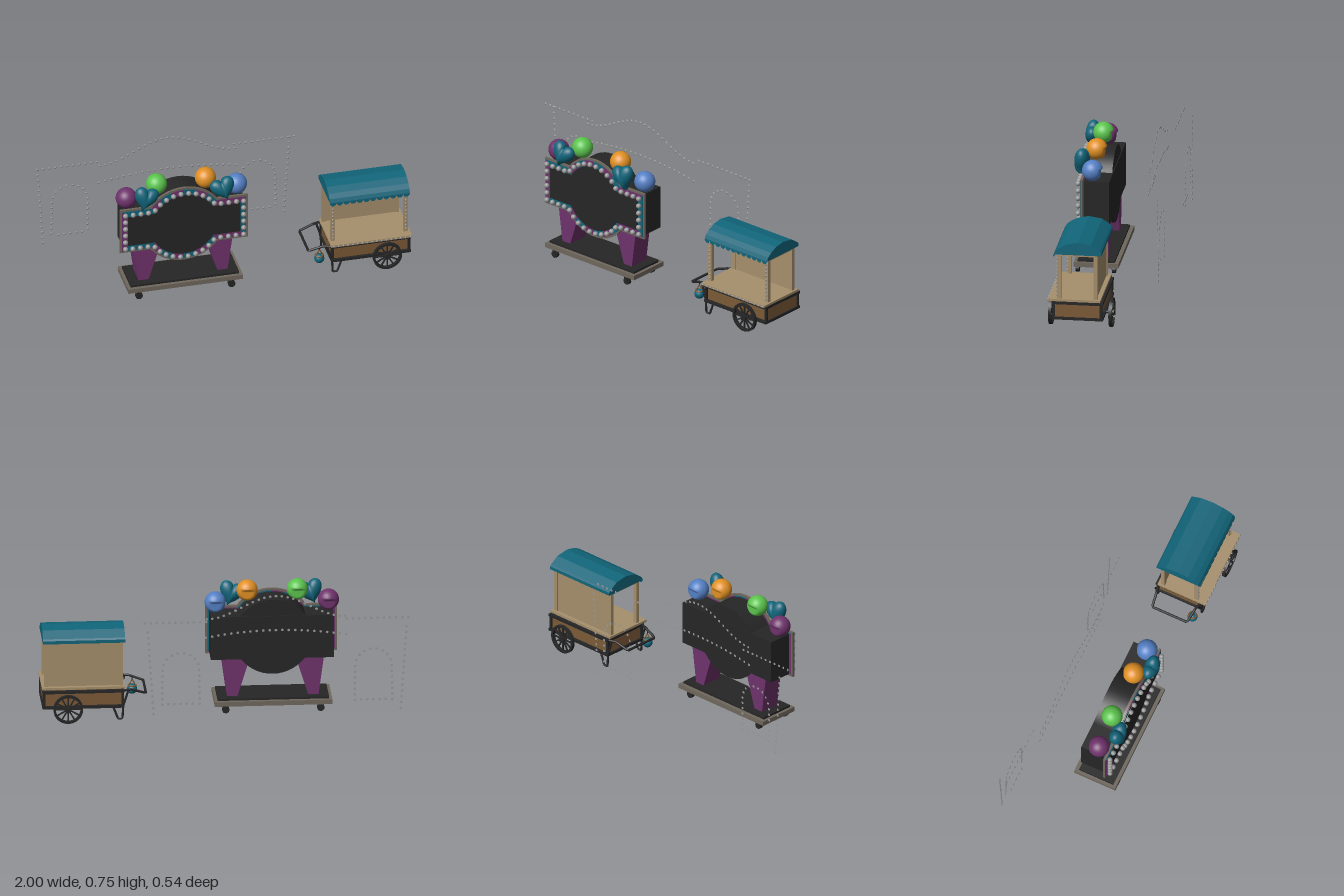
import * as THREE from 'three';
import { mergeGeometries } from 'three/addons/utils/BufferGeometryUtils.js';

const mat = (name, color) => {
  const m = new THREE.MeshStandardMaterial({ color, side: THREE.DoubleSide });
  m.name = name;
  return m;
};
const V2 = (x, y) => new THREE.Vector2(x, y);
const V3 = (x, y, z) => new THREE.Vector3(x, y, z);

export function createModel() {
  const black = mat('black', 0x262626), purple = mat('purple', 0x6f336c), teal = mat('teal', 0x11657a),
    tan = mat('tan', 0xa68f6c), brown = mat('brown', 0x7c5a37), grey = mat('bulb grey', 0x999999),
    taupe = mat('taupe', 0x6f675d), green = mat('green', 0x5cc44e), orange = mat('orange', 0xe09024),
    blue = mat('blue', 0x5580c4);
  const root = new THREE.Group();
  const group = (name, parent = root) => {
    const g = new THREE.Group();
    g.name = name;
    parent.add(g);
    return g;
  };
  const add = (parent, name, geo, m, x = 0, y = 0, z = 0) => {
    const mesh = new THREE.Mesh(geo, m);
    mesh.name = name;
    mesh.position.set(x, y, z);
    parent.add(mesh);
    return mesh;
  };
  // box given by its limits on each axis
  const box = (p, name, m, x0, x1, y0, y1, z0, z1) =>
    add(p, name, new THREE.BoxGeometry(x1 - x0, y1 - y0, z1 - z0), m, (x0 + x1) / 2, (y0 + y1) / 2, (z0 + z1) / 2);
  const slab = (p, name, m, pts, z0, z1, hole) => {
    const s = new THREE.Shape(pts);
    if (hole) s.holes.push(new THREE.Path(hole));
    return add(p, name, new THREE.ExtrudeGeometry(s, { depth: z1 - z0, bevelEnabled: false }), m, 0, 0, z0);
  };
  const tube = (p, name, m, r, pts) => {
    const path = new THREE.CurvePath();
    for (let i = 1; i < pts.length; i++) path.add(new THREE.LineCurve3(pts[i - 1], pts[i]));
    return add(p, name, new THREE.TubeGeometry(path, pts.length * 8, r, 8), m);
  };
  // merged row of small beads at the given points
  const beads = (p, name, points, z, geo) => add(p, name,
    mergeGeometries(points.map(q => geo.clone().translate(q.x, q.y, z))), grey);

  // ---- Sign stand ----
  const CX = -0.27, CY = 0.427;
  const stand = group('signStand');
  // outline of a bar joined with a disc, listed as stretches with equal counts for every inset
  const stretches = d => {
    const w = 0.36 - d, h = 0.137 - d, r = 0.232 - d, a = Math.asin(h / r), c = r * Math.cos(a);
    const P = (x, y) => V2(CX + x, CY + y);
    const out = [[P(w, -h), P(w, h)], [P(w, h), P(c, h)]];
    const arc = (from, to) => {
      for (let k = 0; k < 6; k++) out.push(Array.from({ length: 6 }, (_, i) => {
        const t = from + (to - from) * (k + i / 5) / 6;
        return P(r * Math.cos(t), r * Math.sin(t));
      }));
    };
    arc(a, Math.PI - a);
    out.push([P(-c, h), P(-w, h)], [P(-w, h), P(-w, -h)], [P(-w, -h), P(-c, -h)]);
    arc(Math.PI + a, 2 * Math.PI - a);
    out.push([P(c, -h), P(w, -h)]);
    return out;
  };
  const outline = d => stretches(d).flatMap(s => s.slice(0, -1));
  slab(stand, 'signBorder', taupe, outline(0), 0.19, 0.203);
  const outer = stretches(0.011), inner = stretches(0.047);
  outer.forEach((s, i) => slab(stand, 'signBand', i % 2 ? purple : teal,
    [...s, ...inner[i].slice().reverse()], 0.187, 0.206));
  slab(stand, 'signFace', black, outline(0.045), 0.185, 0.21);
  const ring = new THREE.Shape([...outline(0.028), outline(0.028)[0]]);
  beads(stand, 'signBulbs', ring.getSpacedPoints(44).slice(1), 0.219, new THREE.SphereGeometry(0.0145, 12, 8));

  // cabinet behind the sign
  box(stand, 'cabinetBar', black, -0.605, 0.07, 0.302, 0.548, 0.047, 0.19);
  const drum = add(stand, 'cabinetDrum', new THREE.CylinderGeometry(0.215, 0.215, 0.137, 48), black, CX, CY, 0.1205);
  drum.rotation.x = Math.PI / 2;

  // tapered legs, base board and casters
  for (const s of [-1, 1]) {
    const X = x => CX + s * x;
    slab(stand, 'standLeg', purple,
      [V2(X(0.28), 0.305), V2(X(0.25), 0.08), V2(X(0.195), 0.08), V2(X(0.125), 0.305)], 0.062, 0.182);
    for (const z of [0.03, 0.23]) {
      const c = add(stand, 'caster', new THREE.CylinderGeometry(0.02, 0.02, 0.02, 20), black, X(0.26), 0.02, z);
      c.rotation.x = Math.PI / 2;
      box(stand, 'casterFork', black, X(0.26) - 0.012, X(0.26) + 0.012, 0.02, 0.048, z - 0.012, z + 0.012);
    }
  }
  box(stand, 'baseBoard', taupe, -0.592, 0.052, 0.047, 0.073, -0.002, 0.245);
  box(stand, 'baseTop', black, -0.575, 0.035, 0.073, 0.085, 0.02, 0.225);

  // balls with the lower back trimmed flat
  const ballGeo = new THREE.SphereGeometry(0.058, 32, 24);
  const bp = ballGeo.attributes.position;
  for (let i = 0; i < bp.count; i++) if (bp.getY(i) < 0.012) bp.setZ(i, Math.max(bp.getZ(i), -0.042));
  ballGeo.computeVertexNormals();
  [[purple, -0.58, 0.605], [green, -0.41, 0.67], [orange, -0.135, 0.67], [blue, 0.04, 0.605]]
    .forEach(([m, x, y]) => add(stand, 'ball', ballGeo, m, x, y, 0.142));

  // puffy hearts shaped from a sphere
  const heartGeo = new THREE.SphereGeometry(1, 40, 28);
  const hp = heartGeo.attributes.position;
  for (let i = 0; i < hp.count; i++) {
    const x = hp.getX(i), y = hp.getY(i), ax = Math.abs(x);
    hp.setXYZ(i, x * 0.068, y * 0.057 + 0.045 * Math.sqrt(ax) - 0.02, hp.getZ(i) * 0.042);
  }
  heartGeo.computeVertexNormals();
  for (const s of [-1, 1])
    add(stand, 'heart', heartGeo, teal, CX + s * 0.218, 0.632, 0.212).rotation.z = s * 0.3;

  // ---- Strings of small lights tracing a facade ----
  const lights = group('facadeLights');
  const dot = new THREE.ConeGeometry(0.008, 0.006, 6).rotateX(Math.PI / 2);
  const line = (x0, y0, x1, y1, n) => Array.from({ length: n + 1 }, (_, i) =>
    V2(x0 + (x1 - x0) * i / n, y0 + (y1 - y0) * i / n));
  for (const s of [-1, 1]) {
    const mir = pts => pts.map(p => V2(CX + s * p.x, p.y));
    beads(lights, 'eaveLights', mir(line(0.385, 0.622, 0.722, 0.622, 10)), -0.218, dot);
    beads(lights, 'columnLights', mir(line(0.708, 0.588, 0.677, 0.113, 14)), -0.268, dot);
    const arch = Array.from({ length: 10 }, (_, i) => {
      const t = Math.PI * i / 9;
      return V2(0.527 + 0.1 * Math.cos(t), 0.363 + 0.1 * Math.sin(t));
    });
    beads(lights, 'archLights', mir([...arch, ...line(0.63, 0.165, 0.628, 0.33, 5),
      ...line(0.425, 0.165, 0.426, 0.33, 5)]), -0.268, dot);
    beads(lights, 'sillLights', mir(line(0.46, 0.162, 0.595, 0.162, 4)), -0.252, dot);
  }
  beads(lights, 'gableLights', Array.from({ length: 25 }, (_, i) => {
    const u = (i - 12) / 12;
    return V2(CX + u * 0.38, 0.622 + 0.125 * (0.5 + 0.5 * Math.cos(u * Math.PI)));
  }), -0.176, dot);
  beads(lights, 'lowerLights', Array.from({ length: 23 }, (_, i) => {
    const u = (i - 11) / 11;
    return V2(CX + u * 0.385, 0.55 - 0.035 * u * u);
  }), -0.176, dot);

  // ---- Vendor cart ----
  const cart = group('vendorCart');
  box(cart, 'cartBody', brown, 0.56, 0.99, 0.082, 0.17, -0.03, 0.222);
  box(cart, 'counter', tan, 0.545, 1.0, 0.178, 0.191, -0.032, 0.255);
  beads(cart, 'counterLights', line(0.56, 0.184, 0.99, 0.184, 16), 0.257, new THREE.SphereGeometry(0.006, 8, 6));
  for (const y of [0.079, 0.167]) {
    for (const z of [-0.037, 0.229]) box(cart, 'frameRail', black, 0.55, 0.998, y - 0.007, y + 0.008, z - 0.009, z + 0.009);
    for (const x of [0.558, 0.99]) box(cart, 'frameRail', black, x - 0.008, x + 0.008, y - 0.007, y + 0.008, -0.046, 0.238);
  }
  for (const x of [0.558, 0.99]) for (const z of [-0.034, 0.226])
    box(cart, 'frameCorner', black, x - 0.007, x + 0.007, 0.079, 0.17, z - 0.007, z + 0.007);

  // posts, back wall and roof beams
  for (const x of [0.566, 0.976]) {
    for (const z of [-0.004, 0.196]) box(cart, 'post', tan, x - 0.011, x + 0.011, 0.19, 0.452, z - 0.011, z + 0.011);
    box(cart, 'roofBeam', tan, x - 0.009, x + 0.009, 0.436, 0.452, -0.004, 0.196);
    beads(cart, 'postLights', line(x, 0.21, x, 0.42, 9), 0.209, new THREE.SphereGeometry(0.006, 8, 6));
  }
  box(cart, 'backWall', tan, 0.566, 0.976, 0.19, 0.45, -0.008, 0.002);
  box(cart, 'roofBeam', tan, 0.566, 0.976, 0.436, 0.452, 0.187, 0.205);

  // hollow canopy: arched shell, end panels and scalloped valance
  const arc = [[-0.225, 0.447], [-0.215, 0.468], [-0.19, 0.488], [-0.15, 0.508], [-0.093, 0.519],
    [-0.02, 0.508], [0.03, 0.474], [0.038, 0.465], [0.038, 0.447]];
  const roofPts = arc.map(([x, y]) => V2(x, y));
  const under = arc.map(([x, y]) => V2(-0.093 + (x + 0.093) * 0.95, y === 0.447 ? y : y - 0.008)).reverse();
  const across = (name, pts, x0, x1) => {
    const m = slab(cart, name, teal, pts, 0, x1 - x0);
    m.rotation.y = Math.PI / 2;
    m.position.set(x0, 0, 0);
  };
  across('canopy', [...roofPts, ...under], 0.545, 0.995);
  across('canopyEnd', roofPts, 0.545, 0.551);
  across('canopyEnd', roofPts, 0.989, 0.995);
  for (let i = 0; i < 12; i++) {
    const w = 0.45 / 12;
    const s = add(cart, 'valanceScallop', new THREE.CircleGeometry(w / 2, 12, Math.PI, Math.PI), teal,
      0.545 + w * (i + 0.5), 0.448, 0.2255);
    s.scale.y = 1.15;
  }

  // spoked wheels on an axle
  for (const z of [0.256, -0.077]) {
    const wheel = group('wheel', cart);
    wheel.position.set(0.86, 0.081, z);
    const rim = new THREE.Shape().absarc(0, 0, 0.081, 0, Math.PI * 2);
    rim.holes.push(new THREE.Path().absarc(0, 0, 0.068, 0, Math.PI * 2));
    add(wheel, 'rim', new THREE.ExtrudeGeometry(rim, { depth: 0.018, bevelEnabled: false, curveSegments: 32 }), black, 0, 0, -0.009);
    for (let i = 0; i < 6; i++)
      add(wheel, 'spoke', new THREE.BoxGeometry(0.14, 0.007, 0.008), black).rotation.z = i * Math.PI / 6;
    add(wheel, 'hub', new THREE.CylinderGeometry(0.018, 0.018, 0.03, 20), black).rotation.x = Math.PI / 2;
  }
  add(cart, 'axle', new THREE.CylinderGeometry(0.008, 0.008, 0.33, 12), black, 0.86, 0.081, 0.09).rotation.x = Math.PI / 2;

  // pull handle and prop legs
  tube(cart, 'handle', black, 0.007, [V3(0.56, 0.168, -0.035), V3(0.51, 0.168, -0.02), V3(0.43, 0.142, -0.01),
    V3(0.43, 0.142, 0.2), V3(0.51, 0.168, 0.212), V3(0.56, 0.168, 0.228)]);
  for (const z of [-0.036, 0.228])
    tube(cart, 'propLeg', black, 0.006, [V3(0.53, 0.163, z), V3(0.556, 0.08, z), V3(0.56, 0.007, z),
      V3(0.585, 0.007, z), V3(0.612, 0.08, z)]);

  // hanging lantern
  const lamp = group('lantern', cart);
  lamp.position.set(0.49, 0.09, 0.205);
  add(lamp, 'globe', new THREE.SphereGeometry(0.028, 20, 14), teal);
  add(lamp, 'collar', new THREE.TorusGeometry(0.02, 0.005, 8, 20), brown, 0, 0.02, 0).rotation.x = Math.PI / 2;
  tube(lamp, 'hanger', brown, 0.003, [V3(-0.018, 0.022, 0), V3(0, 0.055, 0), V3(0.018, 0.022, 0)]);
  tube(lamp, 'hook', black, 0.003, [V3(0, 0.053, 0), V3(0, 0.078, 0)]);
  return root;
}
